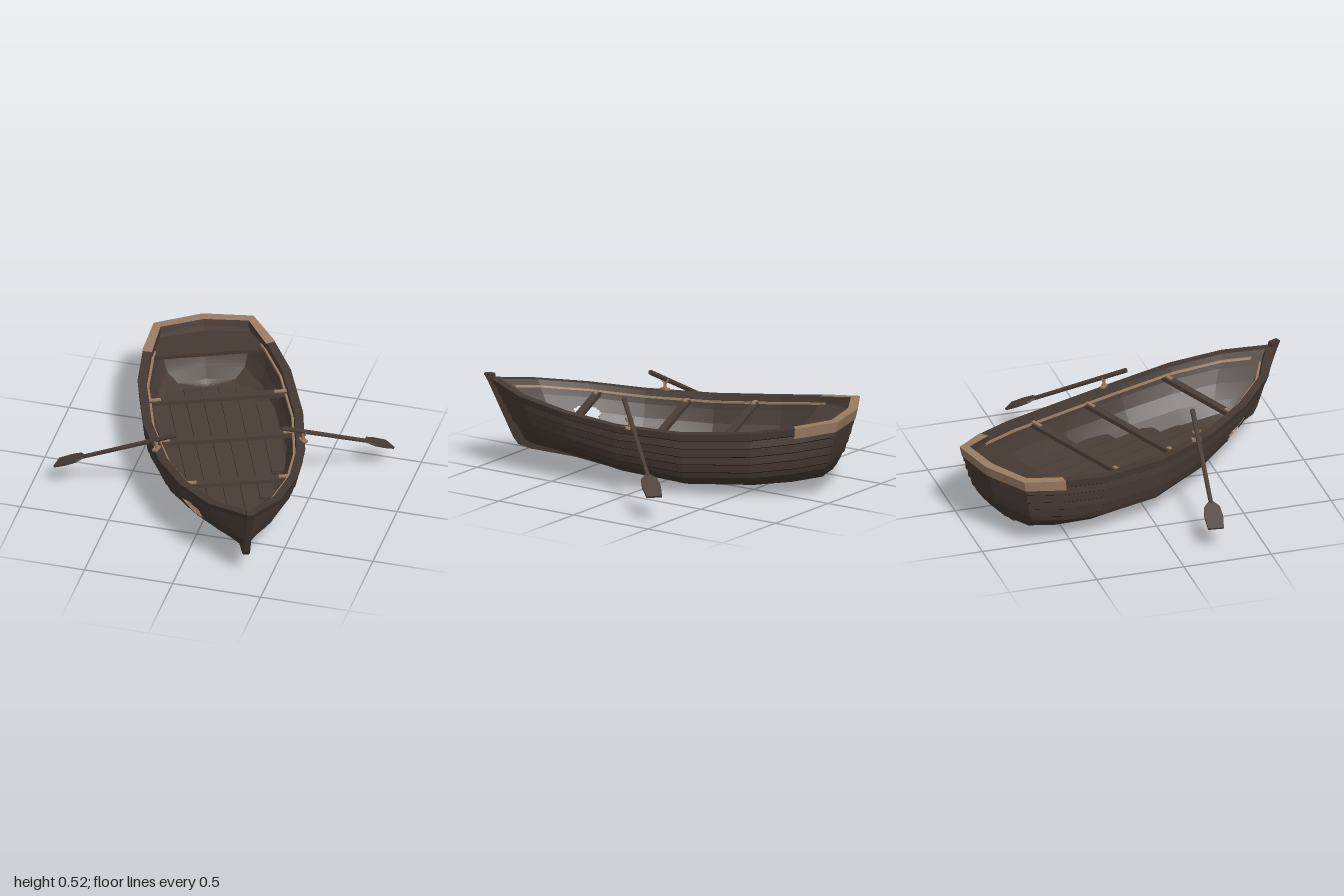
import * as THREE from 'three';

const mat = (name, color) => Object.assign(
  new THREE.MeshStandardMaterial({ color, flatShading: true, side: THREE.DoubleSide }), { name });
const { lerp } = THREE.MathUtils;
const LAP = 0.008;

// Hull stations, bow to stern: rail z, half width, rail height, keel z, keel height, fullness
const STATIONS = [
  [1.04, 0.012, 0.50, 0.86, 0.14, 0],
  [0.845, 0.193, 0.46, 0.70, 0.118, 0.1],
  [0.578, 0.32, 0.42, 0.52, 0.095, 0.25],
  [0.27, 0.397, 0.38, 0.27, 0.052, 0.6],
  [-0.11, 0.433, 0.365, -0.11, 0.018, 1],
  [-0.50, 0.415, 0.385, -0.48, 0.03, 1],
  [-0.748, 0.354, 0.415, -0.68, 0.05, 1],
  [-0.952, 0.27, 0.443, -0.80, 0.068, 0.9],
  [-1.0, 0, 0.448, -0.82, 0.068, 0.9],
];
const LAST = STATIONS.length - 1;
const STERN = 5.95; // where the worn stern rail begins

// Outward plan direction [z, x] at each station
const NORMALS = STATIONS.map((s, i) => {
  if (i === LAST) return [-1, 0];
  const a = STATIONS[Math.max(0, i - 1)], b = STATIONS[i + 1];
  const dz = b[0] - a[0], dx = b[1] - a[1], len = Math.hypot(dz, dx);
  return [dx / len, -dz / len];
});

// Cross-section: height fraction, full width fraction, sharp bow width fraction
const SECTION = [[0, 0, 0], [0.07, 0.65, 0.34], [0.25, 0.88, 0.65], [0.5, 0.95, 0.83], [0.75, 0.985, 0.94], [1, 1, 1]];

function widthAt(v, full) {
  let i = 0;
  while (i < SECTION.length - 2 && v > SECTION[i + 1][0]) i++;
  const a = SECTION[i], b = SECTION[i + 1], k = (v - a[0]) / (b[0] - a[0]);
  return lerp(lerp(a[2], b[2], k), lerp(a[1], b[1], k), full);
}

// Point on the hull: u runs along the stations, v from keel to rail, off pushes outwards
function hullPoint(u, v, off = 0, side = 1) {
  const i = Math.min(Math.floor(u), LAST - 1), k = u - i;
  const [zTop, w, yTop, zKeel, yKeel, full] = STATIONS[i].map((a, j) => lerp(a, STATIONS[i + 1][j], k));
  const [nz, nx] = NORMALS[i].map((a, j) => lerp(a, NORMALS[i + 1][j], k));
  const push = off * Math.min(1, v * 8);
  const z = lerp(zKeel, zTop, zTop > 0 ? v : Math.sqrt(v)) + push * nz;
  const x = Math.max(0, w * widthAt(v, full) + push * nx);
  return [side * x, lerp(yKeel, yTop, v) - Math.min(off, 0) * (1 - v), z];
}

// Broken hole in one side of the bow, narrower through the inner skin
const HOLE = { u: 1.88, v: 0.47, ru: 0.37, rv: 0.18, inner: 0.8 };
const jag = (a) => 1 + 0.06 * Math.sin(5 * a) + 0.04 * Math.sin(9 * a + 1);
function inHole(u, v, side, scale) {
  const a = (u - HOLE.u) / HOLE.ru, b = (v - HOLE.v) / HOLE.rv;
  return side < 0 && Math.hypot(a, b) < scale * jag(Math.atan2(b, a));
}

function gridGeometry(pos, idx) {
  const g = new THREE.BufferGeometry();
  g.setAttribute('position', new THREE.Float32BufferAttribute(pos, 3));
  g.setIndex(idx);
  g.computeVertexNormals();
  return g;
}

// Skin swept through rows of [v, offset] on one side of the hull
function sheet(rows, side, u0 = 0, u1 = LAST) {
  const n = Math.ceil((u1 - u0) * 20), pos = [], idx = [], m = rows.length;
  const scale = rows[0][1] < 0 ? HOLE.inner : 1;
  for (let i = 0; i <= n; i++) {
    for (const [v, off] of rows) pos.push(...hullPoint(lerp(u0, u1, i / n), v, off, side));
  }
  for (let i = 0; i < n; i++) for (let j = 0; j < m - 1; j++) {
    if (inHole(lerp(u0, u1, (i + 0.5) / n), (rows[j][0] + rows[j + 1][0]) / 2, side, scale)) continue;
    const a = i * m + j, b = a + m, c = b + 1, d = a + 1;
    idx.push(...(side > 0 ? [a, b, c, a, c, d] : [a, c, b, a, d, c]));
  }
  return gridGeometry(pos, idx);
}

export function createModel() {
  const hullWood = mat('dark hull wood', 0x443832);
  const deckWood = mat('dark deck wood', 0x4a3d37);
  const wornWood = mat('worn pale wood', 0x9a7b62);
  const seamDark = mat('dark red seam', 0x2a1210);
  const model = new THREE.Group();
  model.name = 'rowingBoat';
  const boat = new THREE.Group();
  boat.name = 'boat';
  boat.rotation.y = 0.395;
  boat.position.set(0.024, 0, -0.01);
  model.add(boat);
  const add = (name, geo, material, parent = boat, p = [0, 0, 0]) => {
    const mesh = new THREE.Mesh(geo, material);
    mesh.name = name;
    mesh.position.set(...p);
    parent.add(mesh);
    return mesh;
  };
  const box = (name, size, p, material, parent) => add(name, new THREE.BoxGeometry(...size), material, parent, p);

  // Planked hull, rail and inner skin
  const levels = [0.35, 0.49, 0.62, 0.76, 0.89];
  const inner = [0.9, 0.82, 0.74, 0.7, 0.66, 0.62, 0.58, 0.54, 0.5, 0.46, 0.42, 0.38, 0.34, 0.3, 0.25, 0.07, 0];
  for (const side of [1, -1]) {
    add('hullBottom', sheet([0, 0.07, 0.16, 0.25, 0.3, 0.34].map((v) => [v, 0]), side), hullWood);
    levels.forEach((v, k) => {
      add('plankSeam', sheet([[v - 0.016, 0], [v, LAP]], side), seamDark);
      if (k === levels.length - 1) return;
      const top = levels[k + 1] - 0.016;
      const rows = [0, 1, 2, 3, 4].map((i) => [lerp(v, top, i / 4), LAP * (1 - i / 4)]);
      add('hullPlank', sheet(rows, side), hullWood);
    });
    add('rail', sheet([[0.89, LAP], [1, LAP], [1, -0.04]], side, 0, STERN), hullWood);
    add('sternRail', sheet([[0.84, LAP + 0.002], [1, LAP + 0.002], [1, -0.045]], side, STERN, LAST), wornWood);
    add('railInside', sheet([[1, -0.04], [0.89, -0.04], [0.89, -0.03]], side, 0, STERN), deckWood);
    add('sternRailInside', sheet([[1, -0.045], [0.89, -0.045], [0.89, -0.03]], side, STERN, LAST), hullWood);
    add('innerSkin', sheet(inner.map((v) => [v, -0.03]), side), deckWood);
    add('stringer', sheet([[0.9, -0.042], [0.9, -0.053], [0.86, -0.053], [0.86, -0.03]], side, 0.35, 6.2), wornWood);
  }

  // Splintered rim of the hole
  const pos = [], idx = [], N = 40;
  for (let i = 0; i <= N; i++) {
    const a = (i % N) / N * Math.PI * 2, r = jag(a);
    for (const [k, off] of [[1.03, 0.001], [0.92 + 0.05 * (i % 2), -0.014], [0.76 + 0.06 * (i % 2), -0.031]]) {
      pos.push(...hullPoint(HOLE.u + Math.cos(a) * r * k * HOLE.ru, HOLE.v + Math.sin(a) * r * k * HOLE.rv, off, -1));
    }
  }
  for (let i = 0; i < N; i++) for (let j = 0; j < 2; j++) {
    const a = i * 3 + j;
    idx.push(a, a + 3, a + 4, a, a + 4, a + 1);
  }
  add('holeRim', gridGeometry(pos, idx), wornWood);

  // Keel and stem in one piece
  const keel = new THREE.Shape([
    [1.085, 0.525], [1.03, 0.525], [1.02, 0.46], [0.85, 0.16], [0.79, 0.135], [0.5, 0.11], [0.27, 0.065],
    [-0.11, 0.035], [-0.5, 0.05], [-0.8, 0.08], [-0.82, 0.055], [-0.2, 0], [0.4, 0.045], [0.58, 0.085],
    [0.82, 0.115], [0.89, 0.135], [0.92, 0.175], [1.06, 0.48],
  ].map((p) => new THREE.Vector2(...p)));
  const keelGeo = new THREE.ExtrudeGeometry(keel, { depth: 0.036, bevelEnabled: false });
  keelGeo.translate(0, 0, -0.018).rotateY(-Math.PI / 2);
  add('keelAndStem', keelGeo, hullWood);

  // Floor boards
  const fronts = [0.58, 0.52, 0.36, 0.12], backs = [-0.74, -0.74, -0.72, -0.56];
  for (let i = -3; i <= 3; i++) {
    const f = fronts[Math.abs(i)], b = backs[Math.abs(i)];
    box('floorBoard', [0.088, 0.016, f - b], [i * 0.095, 0.135, (f + b) / 2], deckWood);
  }

  // Stern seat
  const ring = [[6, 1], [7, 1], [8, 1], [7, -1], [6, -1]].map(([u, side]) => {
    const p = hullPoint(u, 0.8, -0.03, side);
    return new THREE.Vector2(p[0], p[2]);
  });
  const seatGeo = new THREE.ExtrudeGeometry(new THREE.Shape(ring), { depth: 0.022, bevelEnabled: false });
  add('sternSeat', seatGeo.rotateX(Math.PI / 2), hullWood, boat, [0, 0.375, 0]);

  // Thwarts with worn ends
  for (const [z, half, y] of [[-0.35, 0.385, 0.335], [0.033, 0.385, 0.325], [0.516, 0.3, 0.365]]) {
    box('thwart', [half * 2, 0.024, 0.042], [0, y, z], deckWood);
    for (const side of [1, -1]) {
      box('thwartEnd', [0.075, 0.008, 0.02], [side * (half - 0.035), y + 0.015, z], wornWood);
    }
  }

  // Oars, each resting in a rowlock
  const blade = new THREE.Shape([[0.013, 0], [0.044, 0.035], [0.052, 0.1], [0.043, 0.18],
    [-0.043, 0.18], [-0.052, 0.1], [-0.044, 0.035], [-0.013, 0]].map((p) => new THREE.Vector2(...p)));
  const oars = [
    { name: 'rightOar', grip: [-0.165, 0.5, 0.31], tip: [-0.87, 0.135, 0.225], rest: 0.17 },
    { name: 'leftOar', grip: [0.38, 0.505, 0.1], tip: [0.84, 0.135, -0.43], rest: 0.19 },
  ];
  for (const { name, grip, tip, rest } of oars) {
    const a = new THREE.Vector3(...grip), b = new THREE.Vector3(...tip);
    const dir = b.clone().sub(a), len = dir.length();
    dir.normalize();
    const across = new THREE.Vector3().crossVectors(dir, new THREE.Vector3(0, 1, 0)).normalize();
    const oar = new THREE.Group();
    oar.name = name;
    oar.quaternion.setFromRotationMatrix(
      new THREE.Matrix4().makeBasis(across, dir, new THREE.Vector3().crossVectors(across, dir)));
    oar.position.copy(a);
    model.add(oar);
    const shaft = len - 0.17;
    add('oarShaft', new THREE.CylinderGeometry(0.012, 0.014, shaft, 8), deckWood, oar, [0, shaft / 2, 0]);
    add('oarBlade', new THREE.ExtrudeGeometry(blade, { depth: 0.012, bevelEnabled: false }), deckWood, oar,
      [0, len - 0.18, -0.006]);

    const lock = new THREE.Group();
    lock.name = 'rowlock';
    lock.position.copy(a).lerp(b, rest);
    lock.rotation.y = Math.atan2(across.x, across.z) - Math.PI / 2;
    model.add(lock);
    const fork = new THREE.TorusGeometry(0.021, 0.006, 6, 10, Math.PI);
    add('rowlockFork', fork.rotateZ(Math.PI), wornWood, lock);
    add('rowlockPin', new THREE.CylinderGeometry(0.008, 0.011, 0.05, 8), wornWood, lock, [0, -0.043, 0]);
    box('rowlockBase', [0.05, 0.012, 0.03], [0, -0.058, 0], wornWood, lock);
  }
  return model;
}
